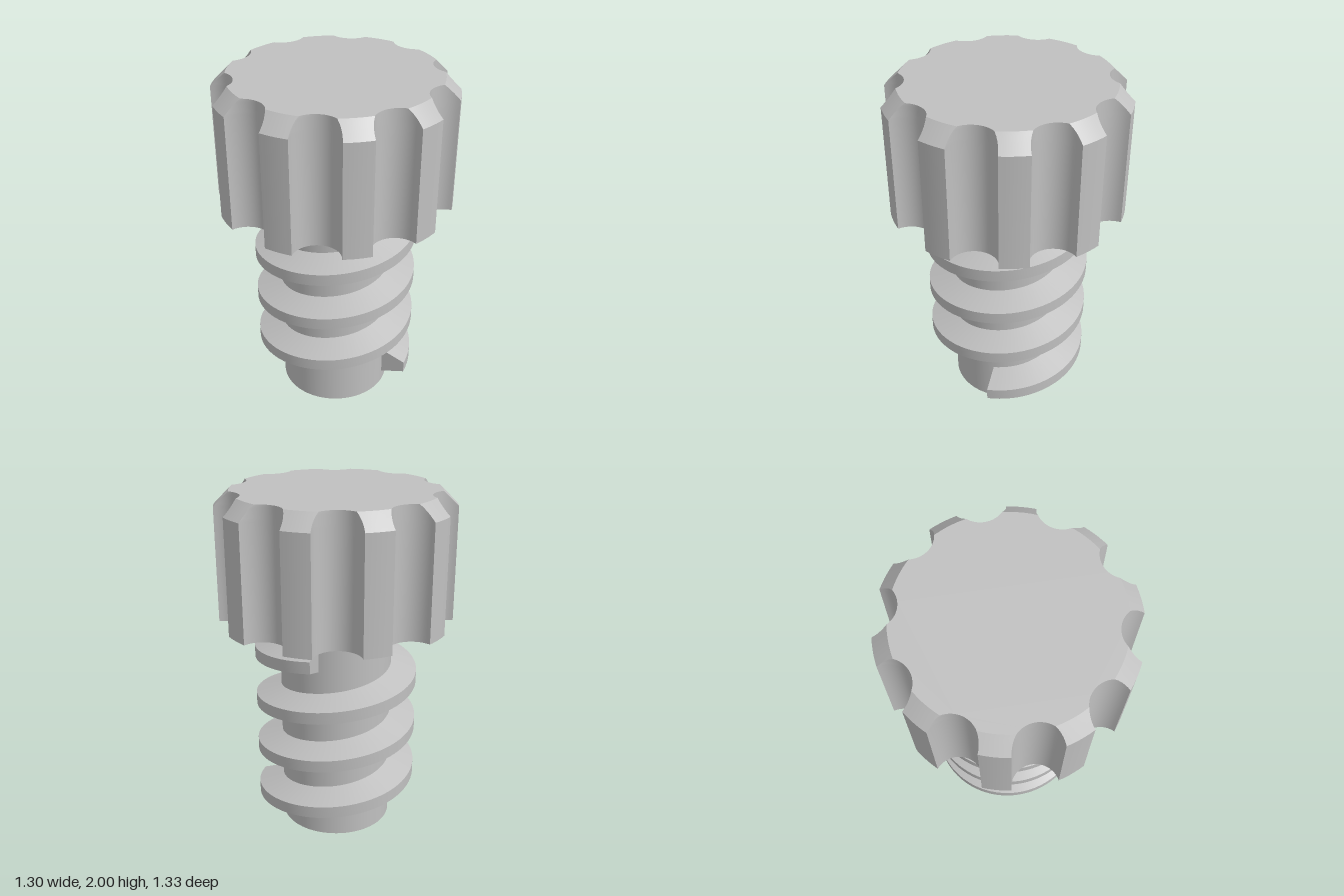
import * as THREE from 'three';
import { toCreasedNormals } from 'three/addons/utils/BufferGeometryUtils.js';

const NOTCHES = 10;
const NOTCH_CENTRE = 0.665, NOTCH_RADIUS = 0.13;
const HEAD_R = 0.665, HEAD_TOP_R = 0.58;
const HEAD_Y0 = 1.265, CHAMFER_Y = 1.915, HEAD_Y1 = 2;

// Joins a list of equal-length closed rings into a skin, with optional fan caps
function loft(rings, caps = false) {
  const out = [];
  const tri = (...pts) => pts.forEach((p) => out.push(p.x, p.y, p.z));
  const n = rings[0].length;
  for (let j = 0; j < rings.length - 1; j++) {
    for (let i = 0; i < n; i++) {
      const k = (i + 1) % n;
      const a = rings[j][i], b = rings[j][k], c = rings[j + 1][k], d = rings[j + 1][i];
      tri(a, b, c);
      tri(a, c, d);
    }
  }
  if (caps) {
    const s = rings[0], e = rings[rings.length - 1];
    for (let i = 1; i < n - 1; i++) {
      tri(s[0], s[i + 1], s[i]);
      tri(e[0], e[i], e[i + 1]);
    }
  }
  const g = new THREE.BufferGeometry();
  g.setAttribute('position', new THREE.Float32BufferAttribute(out, 3));
  return toCreasedNormals(g, THREE.MathUtils.degToRad(30));
}

// Circle of radius R with round grip notches cut into it
function knobOutline(R) {
  const c = NOTCH_CENTRE, step = (Math.PI * 2) / NOTCHES;
  const half = Math.acos((R * R + c * c - NOTCH_RADIUS ** 2) / (2 * R * c));
  const phi = Math.atan2(R * Math.sin(half), R * Math.cos(half) - c);
  const pts = [], origin = new THREE.Vector2();
  for (let k = 0; k < NOTCHES; k++) {
    for (let i = 0; i <= 18; i++) {
      const a = THREE.MathUtils.lerp(Math.PI * 2 - phi, phi, i / 18);
      pts.push(new THREE.Vector2(c + NOTCH_RADIUS * Math.cos(a), NOTCH_RADIUS * Math.sin(a))
        .rotateAround(origin, k * step));
    }
    for (let i = 1; i < 5; i++) {
      const a = k * step + THREE.MathUtils.lerp(half, step - half, i / 5);
      pts.push(new THREE.Vector2(R * Math.cos(a), R * Math.sin(a)));
    }
  }
  return pts;
}

export function createModel() {
  const model = new THREE.Group();
  const grey = new THREE.MeshStandardMaterial({ color: 0xc0c0c0 });
  grey.name = 'plain grey';
  const add = (name, geometry, parent, y = 0) => {
    const mesh = new THREE.Mesh(geometry, grey);
    mesh.name = name;
    mesh.position.y = y;
    parent.add(mesh);
  };

  // Notched head with a chamfered top edge
  const head = new THREE.Group();
  head.name = 'head';
  model.add(head);
  const ringAt = (R, y) => knobOutline(R).map((p) => new THREE.Vector3(p.x, y, -p.y));
  const rings = [ringAt(HEAD_R, HEAD_Y0)];
  for (let i = 0; i <= 5; i++) {
    const t = i / 5;
    rings.push(ringAt(THREE.MathUtils.lerp(HEAD_R, HEAD_TOP_R, t),
      THREE.MathUtils.lerp(CHAMFER_Y, HEAD_Y1, t)));
  }
  add('headSide', loft(rings), head);
  const face = (R, turn) =>
    new THREE.ShapeGeometry(new THREE.Shape(knobOutline(R))).rotateX(turn * Math.PI / 2);
  add('headTop', face(HEAD_TOP_R, -1), head, HEAD_Y1);
  add('headUnderside', face(HEAD_R, 1), head, HEAD_Y0);

  // Plain round shaft
  add('shaft', new THREE.CylinderGeometry(0.323, 0.323, 1.27, 80), model, 0.635);

  // Helical thread of trapezoid section, three and a quarter turns
  const turns = 3.25, pitch = 0.3, steps = 260, startY = 0.155;
  const section = [[0.315, 0.087], [0.47, 0.035], [0.47, -0.035], [0.315, -0.087]];
  const threadRings = [];
  for (let i = 0; i <= steps; i++) {
    const t = (i / steps) * turns, a = t * Math.PI * 2;
    threadRings.push(section.map(([r, y]) =>
      new THREE.Vector3(r * Math.cos(a), startY + t * pitch + y, -r * Math.sin(a))));
  }
  add('screwThread', loft(threadRings, true), model);

  return model;
}
